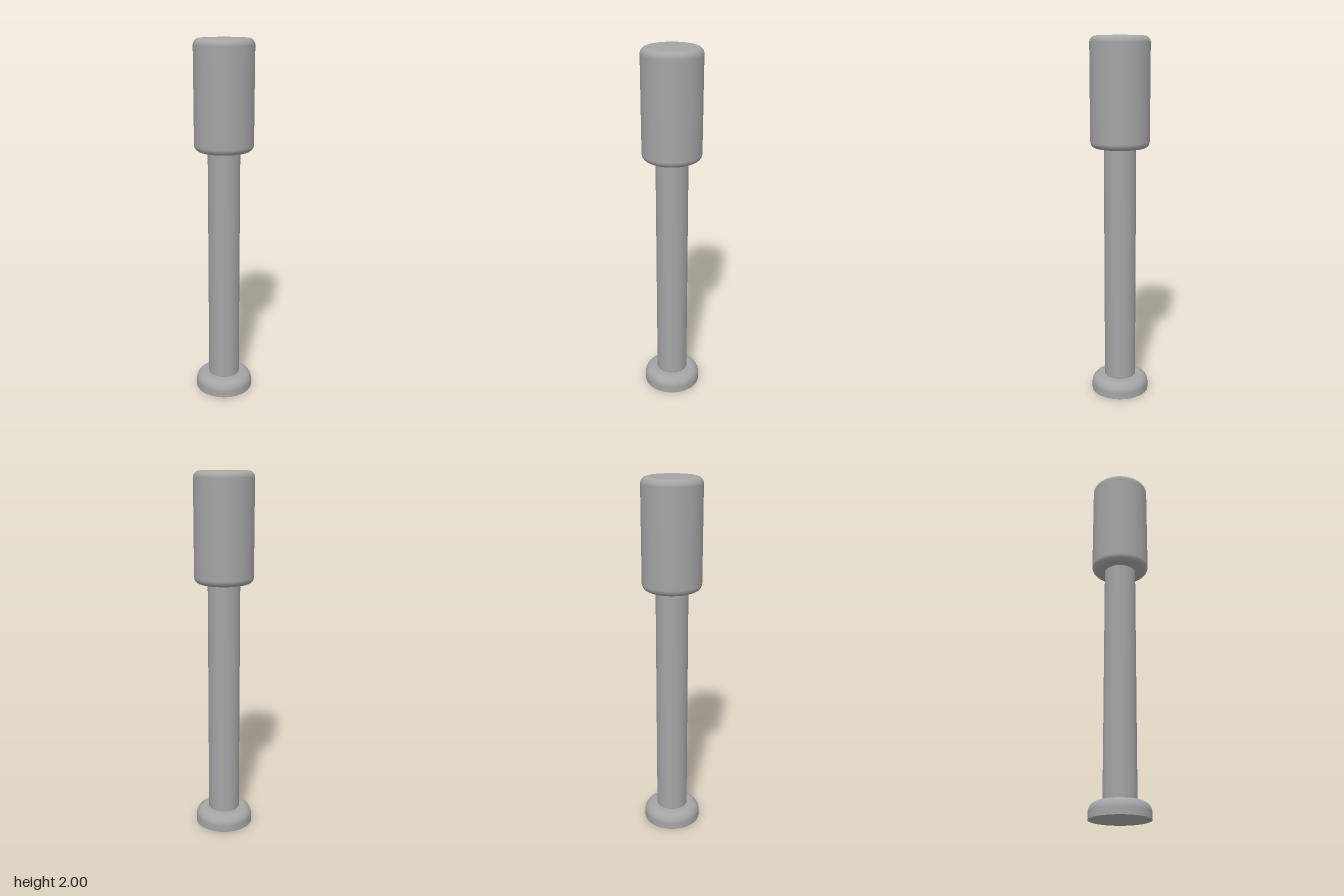
import * as THREE from 'three';

const SEGMENTS = 72;
const material = new THREE.MeshStandardMaterial({ color: 0xa4a4a4 });

function addPart(group, name, geometry, y = 0) {
  const mesh = new THREE.Mesh(geometry, material);
  mesh.name = name;
  mesh.position.y = y;
  group.add(mesh);
  return mesh;
}

// Quarter-round profile points about (cx, cy), from angle a0 to a0 + 90 degrees
function fillet(cx, cy, r, a0, steps = 10) {
  return Array.from({ length: steps + 1 }, (_, i) => {
    const a = a0 + (i / steps) * Math.PI / 2;
    return new THREE.Vector2(cx + r * Math.cos(a), cy + r * Math.sin(a));
  });
}

export function createModel() {
  const model = new THREE.Group();
  model.name = 'roundHeadedPost';
  const radius = 0.161;

  // Foot: a disc with a sharp bottom rim and a generously rounded top rim
  const footHeight = 0.09, footRound = 0.053;
  addPart(model, 'foot', new THREE.LatheGeometry([
    new THREE.Vector2(radius, 0),
    ...fillet(radius - footRound, footHeight - footRound, footRound, 0),
    new THREE.Vector2(0, footHeight),
  ], SEGMENTS));
  const sole = addPart(model, 'sole', new THREE.CircleGeometry(radius, SEGMENTS));
  sole.rotation.x = Math.PI / 2;

  // Shaft: a plain cylinder between foot and head
  const headBottom = 1.412, headTop = 2;
  addPart(model, 'shaft',
    new THREE.CylinderGeometry(0.088, 0.088, headBottom - footHeight, SEGMENTS, 1, true),
    (headBottom + footHeight) / 2);

  // Head: a solid cylinder with both rims rounded
  const round = 0.035;
  addPart(model, 'head', new THREE.LatheGeometry([
    new THREE.Vector2(0, headBottom),
    ...fillet(radius - round, headBottom + round, round, -Math.PI / 2),
    ...fillet(radius - round, headTop - round, round, 0),
    new THREE.Vector2(0, headTop),
  ], SEGMENTS));

  return model;
}
